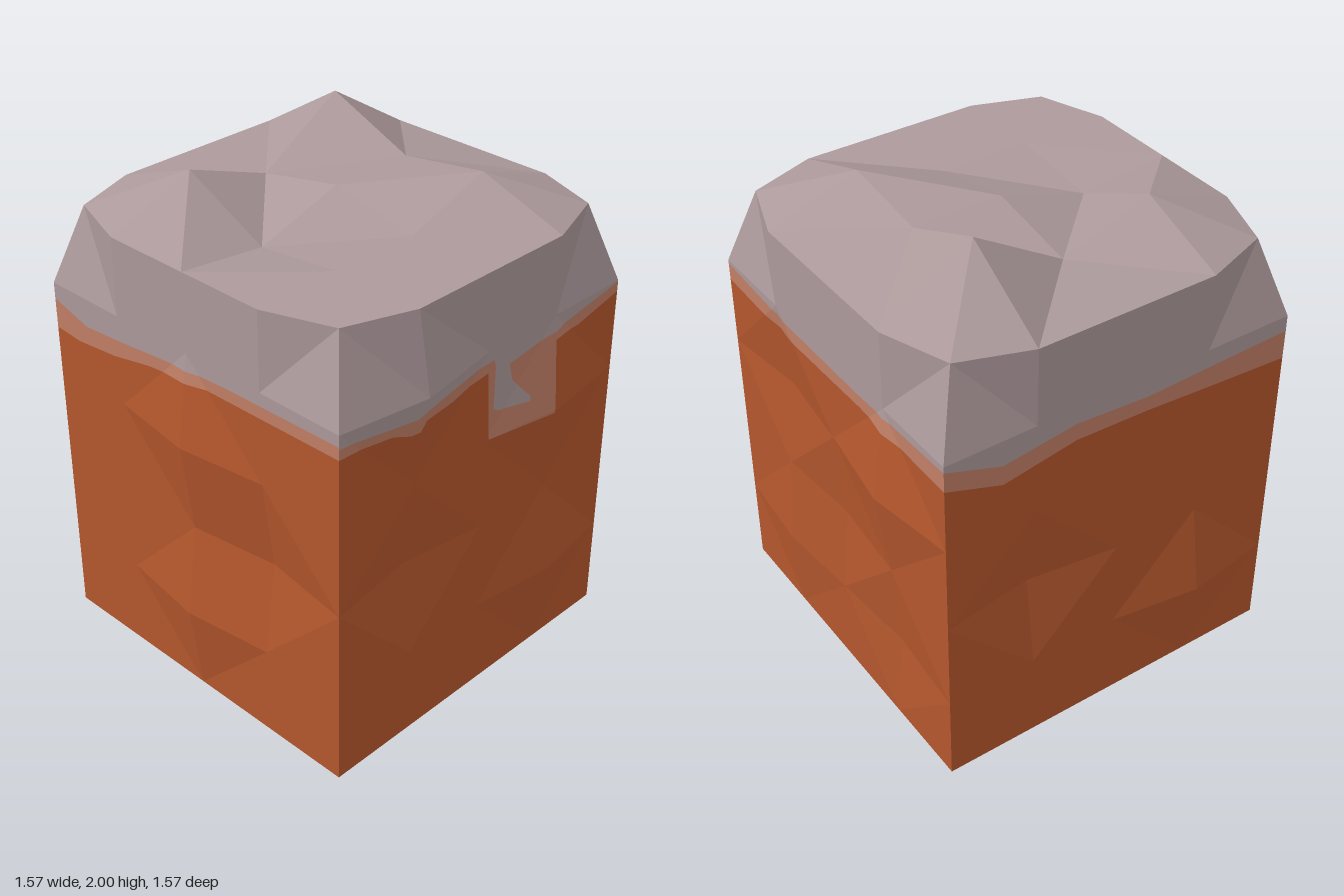
import * as THREE from 'three';

const H = 0.73, INSET = 0.635, STEP = H / 2;
const ROWS = [0, 0.365, 0.735, 1.1, 1.465, 1.775];

const mat = (name, color) => new THREE.MeshStandardMaterial({ name, color, flatShading: true });

// Triangulate a grid of points; slash(i, j) picks the diagonal of each cell
function gridTriangles(nx, ny, point, slash) {
  const out = [];
  for (let i = 0; i < nx; i++) for (let j = 0; j < ny; j++) {
    const a = point(i, j), b = point(i + 1, j), c = point(i + 1, j + 1), d = point(i, j + 1);
    if (slash(i, j)) out.push([a, b, c], [a, c, d]);
    else out.push([a, b, d], [b, c, d]);
  }
  return out;
}

// Keep the part of a convex polygon where f >= 0 (f is linear)
function clip(poly, f) {
  const out = [];
  poly.forEach((p, k) => {
    const q = poly[(k + 1) % poly.length], fp = f(p), fq = f(q);
    if (fp >= 0) out.push(p);
    if ((fp > 0 && fq < 0) || (fp < 0 && fq > 0)) out.push(p.clone().lerp(q, fp / (fp - fq)));
  });
  return out;
}

// Height of a polyline at u
function heightAt(line, u) {
  for (let k = 1; k < line.length; k++) {
    const [u0, y0] = line[k - 1], [u1, y1] = line[k];
    if (u <= u1 || k === line.length - 1) return y0 + (y1 - y0) * (u - u0) / (u1 - u0);
  }
}

function meshFrom(polys, material, name) {
  const pos = [];
  for (const p of polys)
    for (let k = 2; k < p.length; k++)
      for (const v of [p[0], p[k - 1], p[k]]) pos.push(v.x, v.y, v.z);
  const g = new THREE.BufferGeometry();
  g.setAttribute('position', new THREE.Float32BufferAttribute(pos, 3));
  g.computeVertexNormals();
  const m = new THREE.Mesh(g, material);
  m.name = name;
  return m;
}

// The part of a wall between two polylines, optionally raised as a thin plate
function between(tris, lower, upper, raise = 0) {
  const us = [...new Set([...lower, ...upper].map(p => p[0]))].sort((a, b) => a - b);
  const out = [];
  for (let k = 1; k < us.length; k++) {
    const u0 = us[k - 1], u1 = us[k], w = u1 - u0;
    const line = (l) => {
      const y0 = heightAt(l, u0 + 1e-6), y1 = heightAt(l, u1 - 1e-6);
      return p => y0 + (y1 - y0) * (p.x - u0) / w;
    };
    const lo = line(lower), hi = line(upper);
    for (const t of tris) {
      let p = clip(t, v => v.x - u0);
      p = clip(p, v => u1 - v.x);
      p = clip(p, v => v.y - lo(v));
      p = clip(p, v => hi(v) - v.y);
      if (p.length > 2) out.push(p.map(v => new THREE.Vector3(v.x, v.y, v.z + raise)));
    }
  }
  return out;
}

// Walls: bumps are [column, row, outward push]; seam lines are [u, y]
const WALLS = [
  { name: 'front', bumps: [[2, 1, 0.05], [2, 3, 0.05], [3, 2, -0.05]],
    low: [[-H, 1.28], [-0.6, 1.27], [-0.4, 1.29], [-0.2, 1.33], [0.1, 1.36], [H, 1.37]],
    high: [[-H, 1.4], [-0.55, 1.35], [-0.35, 1.365], [-0.1, 1.39], [0.2, 1.41], [H, 1.42]] },
  { name: 'right', bumps: [[1, 4, 0.055], [3, 3, 0.05], [3, 1, 0.05], [1, 2, -0.05]],
    low: [[-H, 1.37], [-0.5, 1.36], [-0.42, 1.33], [-0.38, 1.33], [-0.36, 1.37], [-0.2, 1.36],
      [0, 1.38], [0.02, 1.1], [0.34, 1.085], [0.36, 1.37], [0.5, 1.37], [H, 1.42]],
    high: [[-H, 1.41], [-0.4, 1.39], [-0.36, 1.41], [0.03, 1.42], [0.04, 1.38], [0.12, 1.37],
      [0.2, 1.38], [0.36, 1.4], [H, 1.46]] },
  { name: 'back', bumps: [[3, 3, 0.055], [1, 1, 0.03], [1, 3, -0.04], [3, 1, -0.03], [2, 2, -0.03]],
    low: [[-H, 1.38], [-0.3, 1.36], [0.2, 1.37], [H, 1.36]],
    high: [[-H, 1.45], [-0.3, 1.42], [0.2, 1.42], [H, 1.44]] },
  { name: 'left', bumps: [[3, 1, 0.055], [1, 2, -0.05]],
    low: [[-H, 1.36], [-0.5, 1.28], [-0.2, 1.33], [0.1, 1.32], [0.4, 1.3], [H, 1.28]],
    high: [[-H, 1.44], [-0.5, 1.36], [-0.2, 1.4], [0.1, 1.38], [0.4, 1.39], [H, 1.4]] },
];

function wallTriangles(bumps) {
  const push = (i, j) => (bumps.find(b => b[0] === i && b[1] === j) || [0, 0, 0])[2];
  const point = (i, j) => {
    const corner = j === 5 && (i === 0 || i === 4);
    const u = corner ? Math.sign(i - 2) * INSET : (i - 2) * STEP;
    return new THREE.Vector3(u, ROWS[j], (corner ? INSET : H) + push(i, j));
  };
  // Diagonals run around each bump; the top corners are chamfered
  const slash = (i, j) => {
    if (j === 4 && (i === 0 || i === 3)) return i === 3;
    if (push(i, j) || push(i + 1, j + 1)) return false;
    if (push(i + 1, j) || push(i, j + 1)) return true;
    return (i + j) % 2 === 0;
  };
  return gridTriangles(4, 5, point, slash);
}

export function createModel() {
  const soil = mat('soil', 0xb4572d);
  const seam = mat('seam', 0xc17f66);
  const stone = mat('stone', 0xac999b);
  const group = new THREE.Group();
  group.name = 'terrainBlock';

  // Four faceted walls: soil, pale seam and stone cap
  const flat = y => [[-H, y], [H, y]];
  WALLS.forEach((w, k) => {
    const wall = new THREE.Group();
    wall.name = w.name + 'Wall';
    const tris = wallTriangles(w.bumps);
    wall.add(
      meshFrom(between(tris, flat(0), w.low), soil, w.name + 'Soil'),
      meshFrom(between(tris, w.low, w.high), seam, w.name + 'Seam'),
      meshFrom(between(tris, w.high, flat(1.775)), stone, w.name + 'StoneEdge'));
    // Hooked stone drip
    if (w.name === 'right') wall.add(meshFrom(between(tris,
      [[0.035, 1.22], [0.07, 1.2], [0.22, 1.18]],
      [[0.035, 1.4], [0.11, 1.38], [0.13, 1.3], [0.22, 1.2]], 0.003), stone, 'stoneDrip'));
    wall.rotation.y = k * Math.PI / 2;
    group.add(wall);
  });

  // Lumpy stone top, rows listed from back to front
  const b = 1.775;
  const heights = [
    [b, b, b, b, b],
    [b, 2.0, 1.848, 1.9, b],
    [b, 1.78, 1.85, b, b],
    [b, 1.91, 1.735, b, b],
    [b, b, b, b, b]];
  const diagonals = ['0011', '0111', '1010', '1010'];
  const topPoint = (i, j) => {
    const r = 4 - j, corner = i % 4 === 0 && r % 4 === 0, s = corner ? INSET / H : 1;
    return new THREE.Vector3((i - 2) * STEP * s, heights[r][i], (r - 2) * STEP * s);
  };
  group.add(meshFrom(
    gridTriangles(4, 4, topPoint, (i, j) => diagonals[3 - j][i] === '1'), stone, 'stoneTop'));

  // Flat underside
  const base = new THREE.Mesh(new THREE.PlaneGeometry(2 * H, 2 * H), soil);
  base.name = 'underside';
  base.rotation.x = Math.PI / 2;
  group.add(base);
  return group;
}
